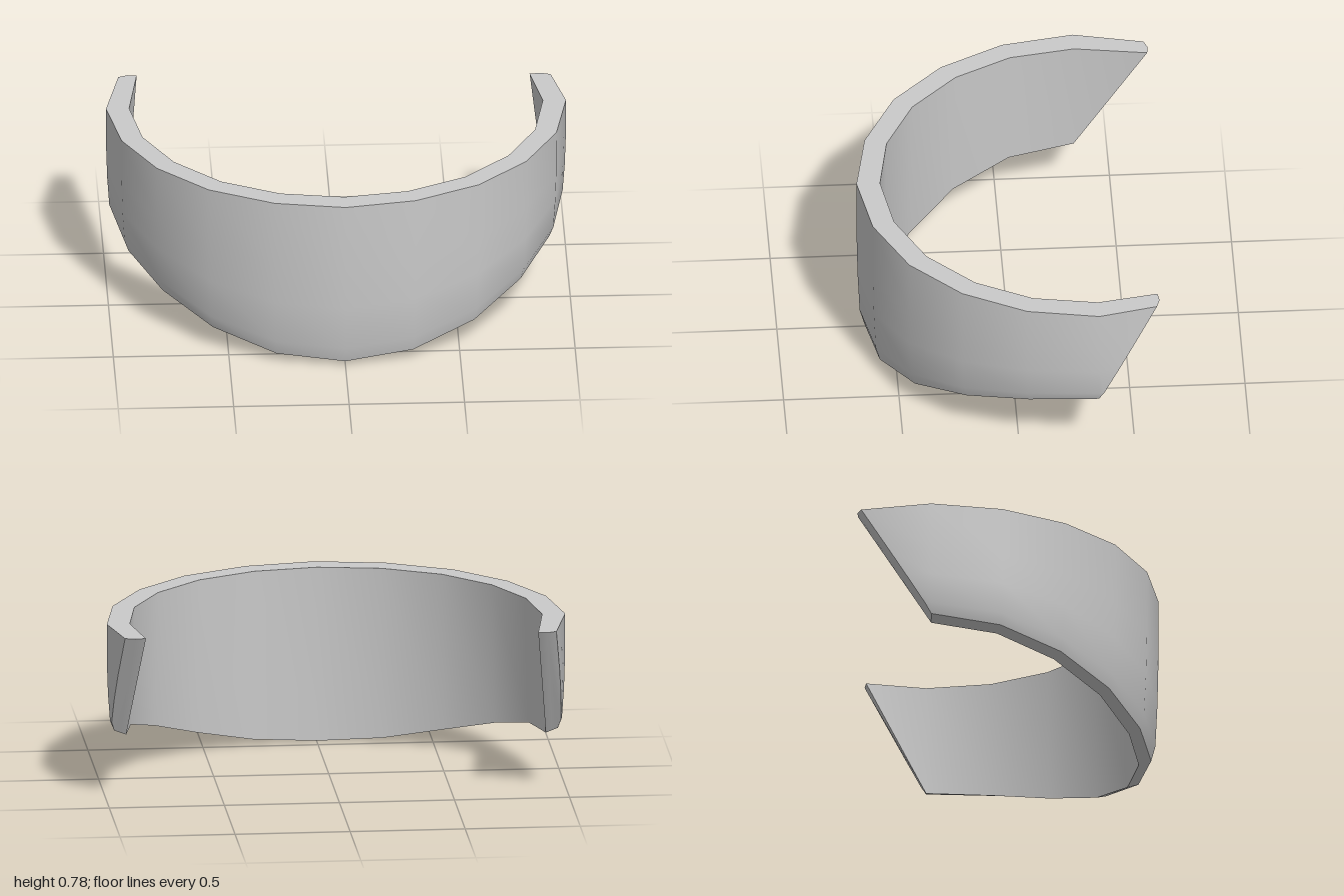
import * as THREE from 'three';
import { toCreasedNormals } from 'three/addons/utils/BufferGeometryUtils.js';

const TOP = 0.78;
// Half plan from the front centre to the widest point: outer x, z, inner x, z
const PLAN = [
  [0, 0.655, 0, 0.553], [0.305, 0.602, 0.277, 0.508], [0.585, 0.46, 0.528, 0.382],
  [0.8, 0.243, 0.725, 0.183], [0.942, -0.03, 0.85, -0.06], [0.996, -0.34, 0.896, -0.34],
];
// Height of the lower edge at each station, and the plan of each swept-back tip
const LEFT = { low: [0.02, 0.045, 0.115, 0.203, 0.275, 0.305], tip: [0.94, -0.593, 0.85, -0.6] };
const RIGHT = { low: [0.02, 0.038, 0.103, 0.18, 0.242, 0.27], tip: [0.93, -0.643, 0.85, -0.655] };
// Outer wall rows from top to bottom: height fraction and inward inset
const ROWS = [[1, 0], [0.6, 0.001], [0.35, 0.005], [0.09, 0.014], [0, 0.032]];

// Closed cross-section at one station: outer wall, lower edge, inner wall, rim
function section(side, sign, i) {
  const isTip = i === PLAN.length;
  const base = PLAN[isTip ? i - 1 : i];
  const low = side.low[isTip ? i - 1 : i];
  const at = (f, inset, inner) => {
    const p = isTip ? base.map((v, k) => v + (side.tip[k] - v) * f) : base;
    const dir = new THREE.Vector2(p[2] - p[0], p[3] - p[1]).normalize();
    const o = inner ? 2 : 0;
    const bottom = inner ? low - 0.02 : low;
    return new THREE.Vector3(sign * (p[o] + dir.x * inset),
      bottom + (TOP - bottom) * f, p[o + 1] + dir.y * inset);
  };
  const loop = ROWS.map(([f, inset]) => at(f, inset, false));
  const innerLow = at(0, -0.016, true), innerTop = at(1, 0, true);
  const midLow = loop[loop.length - 1].clone().lerp(innerLow, 0.5);
  const midTop = loop[0].clone().lerp(innerTop, 0.5);
  if (isTip) midTop.z -= 0.01; // slightly rounded tip
  return [...loop, midLow, innerLow, innerTop, midTop];
}

function bandGeometry() {
  const sections = [];
  for (let i = PLAN.length; i >= 0; i--) sections.push(section(LEFT, 1, i));
  for (let i = 1; i <= PLAN.length; i++) sections.push(section(RIGHT, -1, i));

  const n = sections[0].length, last = sections.length - 1;
  const index = [];
  for (let i = 0; i < last; i++) {
    for (let j = 0; j < n; j++) {
      const a = i * n + j, b = i * n + (j + 1) % n;
      index.push(a, a + n, b, b, a + n, b + n);
    }
  }
  // Close both tips
  for (let j = 0; j < n - 2; j++) {
    const s = last * n;
    index.push(n - 1, j, j + 1, s + n - 1, s + j + 1, s + j);
  }
  const geometry = new THREE.BufferGeometry().setFromPoints(sections.flat());
  geometry.setIndex(index);
  return toCreasedNormals(geometry, THREE.MathUtils.degToRad(35));
}

export function createModel() {
  const group = new THREE.Group();
  group.name = 'curvedGuard';
  const grey = new THREE.MeshStandardMaterial({ color: 0xcacaca });
  grey.name = 'lightGrey';
  const band = new THREE.Mesh(bandGeometry(), grey);
  band.name = 'band';
  group.add(band);
  return group;
}
